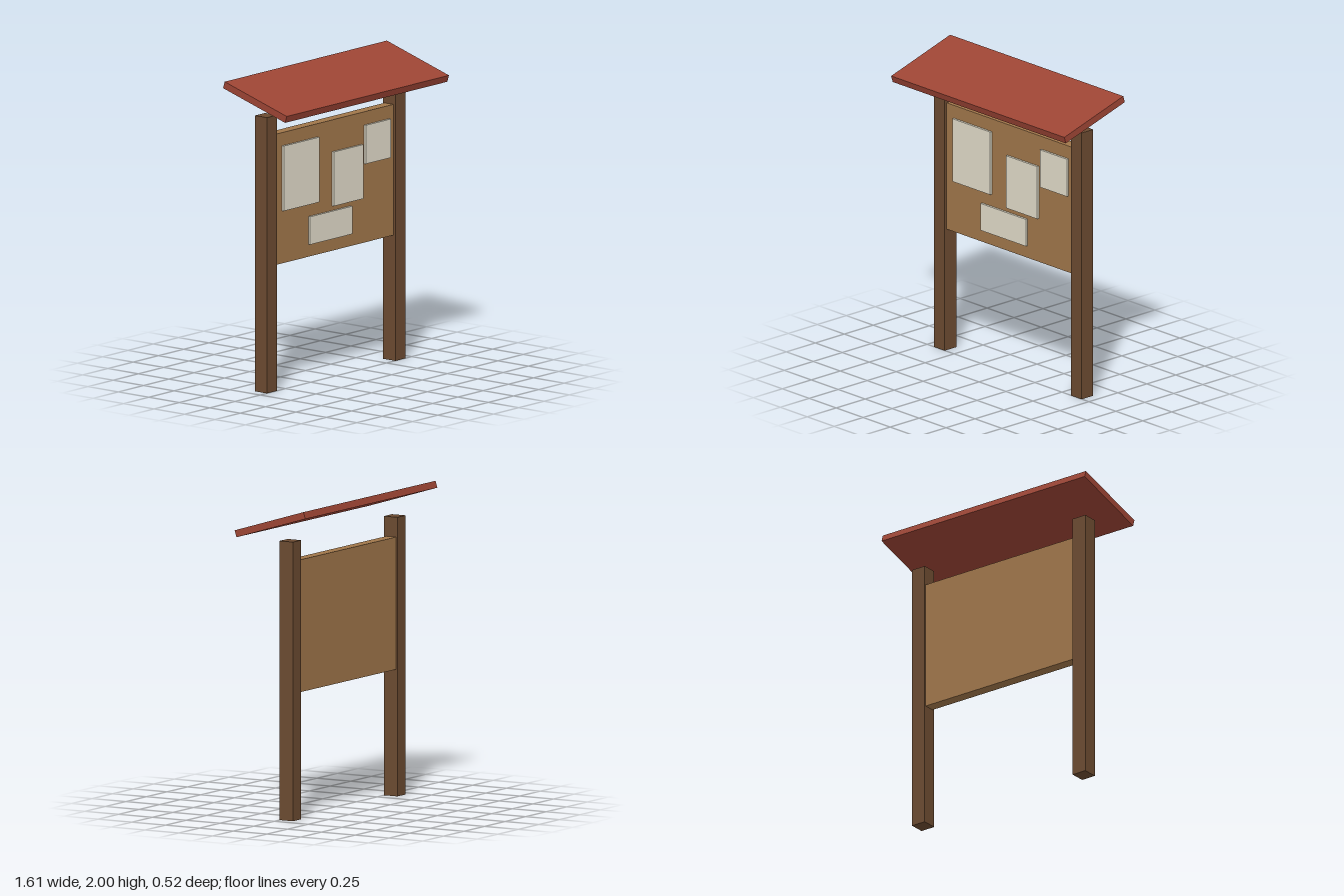
import * as THREE from 'three';

export function createModel() {
  const model = new THREE.Group();
  const mat = (color) => new THREE.MeshStandardMaterial({ color });
  const wood = mat(0x6b4a30), cork = mat(0xa0764a), paper = mat(0xe0dac8), red = mat(0x9c4434);

  // Box given by its min/max extents on each axis
  const box = (name, material, [x0, x1], [y0, y1], [z0, z1]) => {
    const mesh = new THREE.Mesh(new THREE.BoxGeometry(x1 - x0, y1 - y0, z1 - z0), material);
    mesh.position.set((x0 + x1) / 2, (y0 + y1) / 2, (z0 + z1) / 2);
    mesh.name = name;
    model.add(mesh);
    return mesh;
  };

  // Posts
  box('leftPost', wood, [0.585, 0.685], [0, 1.782], [-0.098, 0.002]);
  box('rightPost', wood, [-0.685, -0.585], [0, 1.782], [-0.098, 0.002]);

  // Board between the posts
  box('board', cork, [-0.585, 0.585], [0.81, 1.655], [-0.088, -0.015]);

  // Notices pinned to the front of the board
  const notices = [
    [[-0.517, -0.165], [1.15, 1.57]],
    [[-0.02, 0.27], [1.1, 1.45]],
    [[0.295, 0.545], [1.32, 1.57]],
    [[-0.255, 0.165], [0.89, 1.07]],
  ];
  notices.forEach(([x, y], i) => box(`notice${i + 1}`, paper, x, y, [-0.015, 0]));

  // Sloping roof, low at the front
  const roof = box('roof', red, [-0.803, 0.803], [1.878, 1.923], [-0.266, 0.266]);
  roof.rotation.x = 0.295;

  return model;
}
